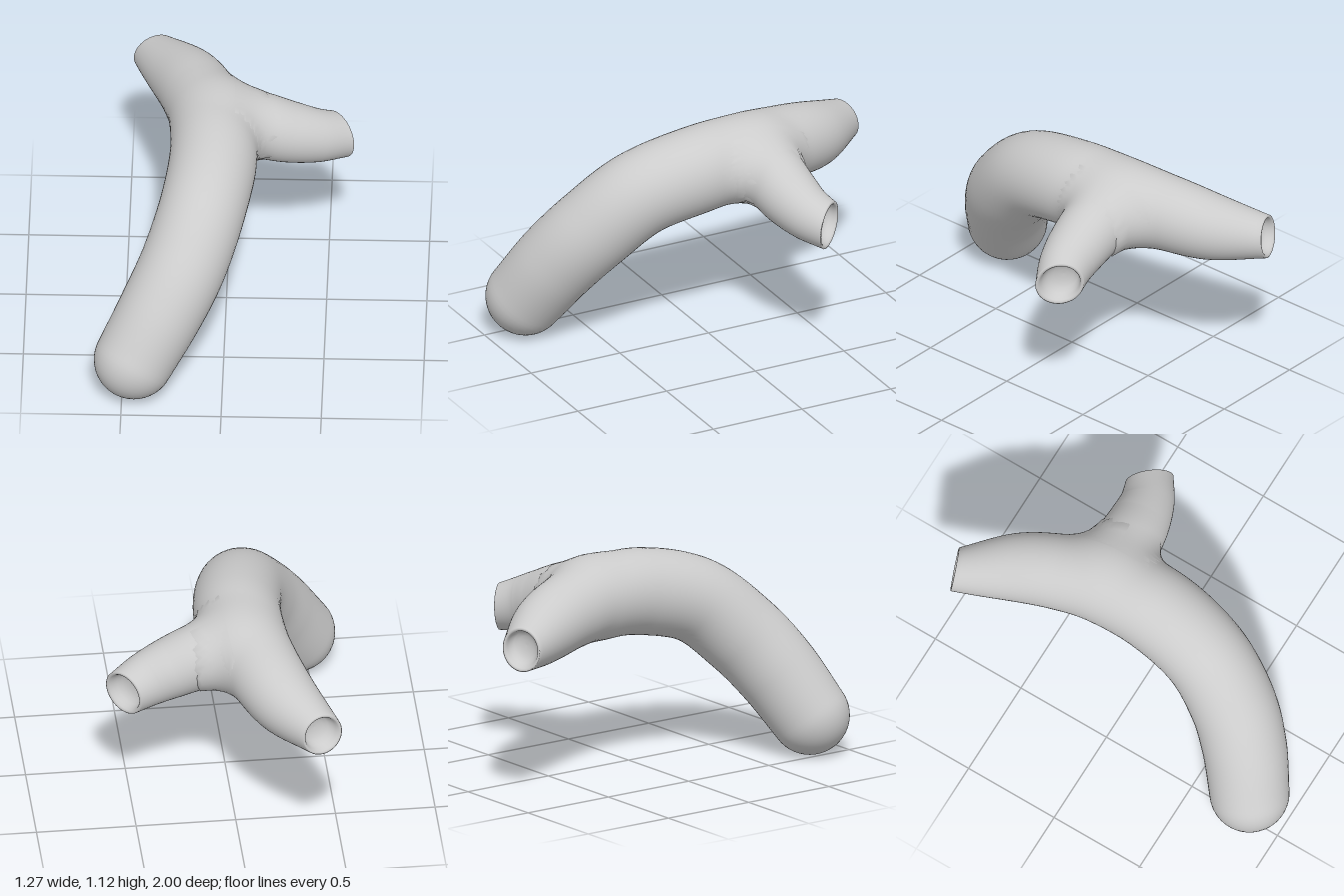
import * as THREE from 'three';

const SIDES = 48, STEPS = 90, BLEND = 0.12;

// A limb is a curve through [x, y, z, radius] stations
function makeLimb(stations, ref) {
  const path = new THREE.CatmullRomCurve3(stations.map(s => new THREE.Vector3(s[0], s[1], s[2])), false, 'catmullrom');
  const girth = new THREE.CatmullRomCurve3(stations.map(s => new THREE.Vector3(s[3], 0, 0)), false, 'catmullrom');
  const samples = [];
  for (let i = 0; i <= 80; i++) samples.push({ c: path.getPoint(i / 80), r: girth.getPoint(i / 80).x });
  const distance = p => Math.min(...samples.map(s => s.c.distanceTo(p) - s.r));
  return { path, girth, ref, distance };
}

function smoothMin(a, b) {
  const h = Math.max(BLEND - Math.abs(a - b), 0);
  return Math.min(a, b) - h * h / (4 * BLEND);
}

// Rings are swept along the limb and swell softly where it meets the other limb
function sweepLimb(limb, other, rings, cut) {
  const pos = [], index = [];
  for (const { t, scale, shift } of rings) {
    const c = limb.path.getPoint(t), r = limb.girth.getPoint(t).x;
    const T = limb.path.getTangent(t);
    const U = new THREE.Vector3().crossVectors(limb.ref, T).normalize();
    const V = new THREE.Vector3().crossVectors(T, U);
    const slant = THREE.MathUtils.smoothstep(t, 0.5, 1);
    for (let j = 0; j < SIDES; j++) {
      const a = j / SIDES * Math.PI * 2;
      const d = U.clone().multiplyScalar(Math.cos(a)).addScaledVector(V, Math.sin(a));
      let s = r * scale;
      if (scale === 1) {
        for (let k = 0; k < 14; k++) {
          const p = c.clone().addScaledVector(d, s);
          s = Math.min(s - smoothMin(s - r, other.distance(p)), r * 1.6);
        }
      }
      const along = shift * r - slant * s * d.dot(cut) / T.dot(cut);
      const p = c.clone().addScaledVector(d, s).addScaledVector(T, along);
      pos.push(p.x, p.y, p.z);
    }
  }
  for (let i = 0; i < rings.length - 1; i++) {
    for (let j = 0; j < SIDES; j++) {
      const k = (j + 1) % SIDES;
      const a = i * SIDES + j, b = i * SIDES + k, c = a + SIDES, d = b + SIDES;
      index.push(a, b, c, b, d, c);
    }
  }
  const geo = new THREE.BufferGeometry();
  geo.setAttribute('position', new THREE.Float32BufferAttribute(pos, 3));
  geo.setIndex(index);
  geo.computeVertexNormals();
  return geo;
}

const bodyRings = () => Array.from({ length: STEPS + 1 }, (_, i) => ({ t: i / STEPS, scale: 1, shift: 0 }));

// Hemisphere closing the start of a limb
const roundCap = () => Array.from({ length: 12 }, (_, i) => {
  const a = i / 12 * Math.PI / 2;
  return { t: 0, scale: Math.sin(a), shift: -Math.cos(a) };
});

// Rim and shallow bowl sunk into the end of a limb
const hollowEnd = () => [
  [0.96, 0.02], [0.9, 0.02], [0.85, -0.03], [0.8, -0.16], [0.74, -0.34],
  [0.62, -0.5], [0.42, -0.6], [0.2, -0.64], [0, -0.65],
].map(([scale, shift]) => ({ t: 1, scale, shift }));

export function createModel() {
  const group = new THREE.Group();
  const material = new THREE.MeshStandardMaterial({ color: 0xcccccc, side: THREE.DoubleSide });

  const main = makeLimb([
    [-0.44, 0.2, 0.8, 0.2],
    [-0.31, 0.42, 0.69, 0.212],
    [-0.2, 0.61, 0.55, 0.217],
    [-0.11, 0.8, 0.33, 0.217],
    [-0.065, 0.885, 0.02, 0.219],
    [-0.09, 0.9, -0.28, 0.205],
    [-0.15, 0.88, -0.5, 0.19],
    [-0.24, 0.845, -0.72, 0.168],
    [-0.385, 0.81, -0.955, 0.108],
  ], new THREE.Vector3(1, 0, 0));

  const side = makeLimb([
    [0.0, 0.89, -0.28, 0.175],
    [0.15, 0.865, -0.285, 0.168],
    [0.3, 0.815, -0.3, 0.155],
    [0.43, 0.775, -0.335, 0.138],
    [0.55, 0.74, -0.39, 0.117],
  ], new THREE.Vector3(0, 1, 0));

  const mainMesh = new THREE.Mesh(sweepLimb(main, side,
    [...roundCap(), ...bodyRings(), ...hollowEnd()],
    new THREE.Vector3(-0.37, 0.1, -0.93)), material);
  mainMesh.name = 'mainLimb';

  const sideMesh = new THREE.Mesh(sweepLimb(side, main,
    [...bodyRings(), ...hollowEnd()],
    new THREE.Vector3(0.76, -0.05, -0.65)), material);
  sideMesh.name = 'sideBranch';

  group.add(mainMesh, sideMesh);
  return group;
}
